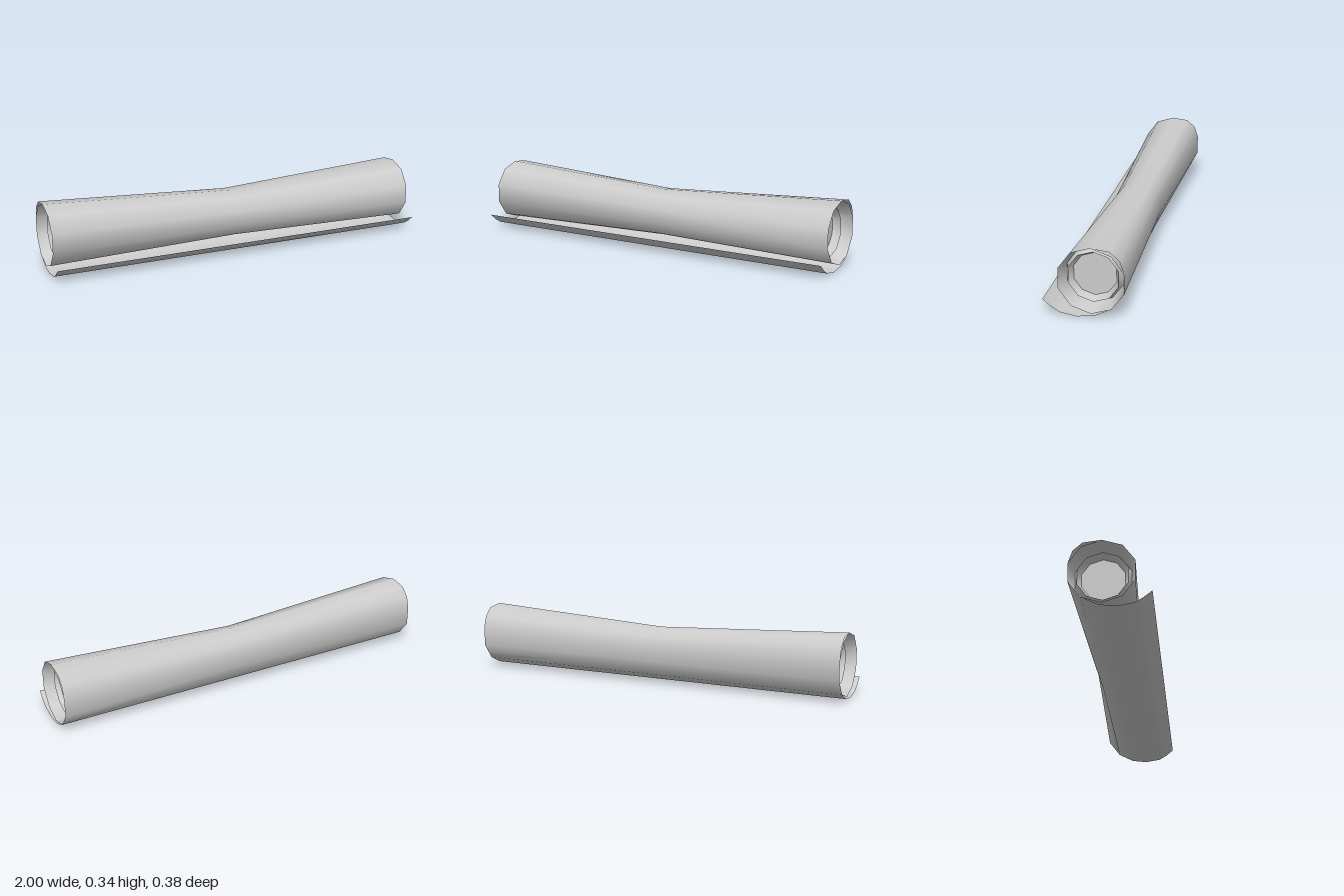
import * as THREE from 'three';

const material = new THREE.MeshStandardMaterial({ color: 0xcccccc, side: THREE.DoubleSide });
const CZ = -0.037, CY = 0.18, MID_CY = 0.164, MID_SCALE = 0.77;

// Skin a row of cross-sections, each { x, pts: [[z, y], ...] }
function loft(name, sections, closed) {
  const n = sections[0].pts.length, positions = [], index = [];
  for (const s of sections) for (const [z, y] of s.pts) positions.push(s.x, y, z);
  for (let i = 0; i < sections.length - 1; i++) {
    for (let j = 0; j < (closed ? n : n - 1); j++) {
      const k = (j + 1) % n, a = i * n + j, b = i * n + k;
      index.push(a, a + n, b, b, a + n, b + n);
    }
  }
  const g = new THREE.BufferGeometry();
  g.setAttribute('position', new THREE.Float32BufferAttribute(positions, 3));
  g.setIndex(index);
  g.computeVertexNormals();
  const mesh = new THREE.Mesh(g, material);
  mesh.name = name;
  return mesh;
}

// Ten-sided ring with a corner at the top
function decagon(r, cy = CY) {
  return Array.from({ length: 10 }, (_, i) => {
    const a = (i / 10) * Math.PI * 2;
    return [CZ - r * Math.sin(a), cy + r * Math.cos(a)];
  });
}

export function createModel() {
  const model = new THREE.Group();
  model.name = 'rolledMat';

  // Main roll, pinched at the middle
  model.add(loft('roll', [
    { x: -1, pts: decagon(0.16) },
    { x: 0, pts: decagon(0.16 * MID_SCALE, MID_CY) },
    { x: 1, pts: decagon(0.16) },
  ], true));

  // Outer wrap: straight loose flap underneath, pinched over the back and top
  const flap = [[0.19, 0.07], [0.15, 0.037], [0.11, 0.013], [0.03, 0], [-0.05, 0.01], [-0.13, 0.05]];
  const wrap = [[-0.19, 0.13], [-0.19, 0.23], [-0.17, 0.29], [-0.125, 0.33], [CZ, 0.34]];
  const pinched = wrap.map(([z, y]) => [CZ + (z - CZ) * MID_SCALE, MID_CY + (y - CY) * MID_SCALE]);
  model.add(loft('outerWrap', [
    { x: -1, pts: [...flap, ...wrap] },
    { x: 0, pts: [...flap, ...pinched] },
    { x: 1, pts: [...flap, ...wrap] },
  ], false));

  // Recessed inner layers at both ends: [radius, distance from the centre]
  const steps = [[0.16, 1], [0.137, 0.915], [0.123, 0.953], [0.105, 0.915]];
  for (const side of [-1, 1]) {
    const end = new THREE.Group();
    end.name = side > 0 ? 'leftEnd' : 'rightEnd';
    for (let i = 0; i < steps.length - 1; i++) {
      const rings = [steps[i], steps[i + 1]].map(([r, x]) => ({ x: side * x, pts: decagon(r) }));
      end.add(loft('innerLayer' + (i + 1), rings, true));
    }
    const core = new THREE.Mesh(new THREE.CircleGeometry(0.105, 10, Math.PI / 2), material);
    core.name = 'core';
    core.rotation.y = side * Math.PI / 2;
    core.position.set(side * 0.915, CY, CZ);
    end.add(core);
    model.add(end);
  }
  return model;
}
